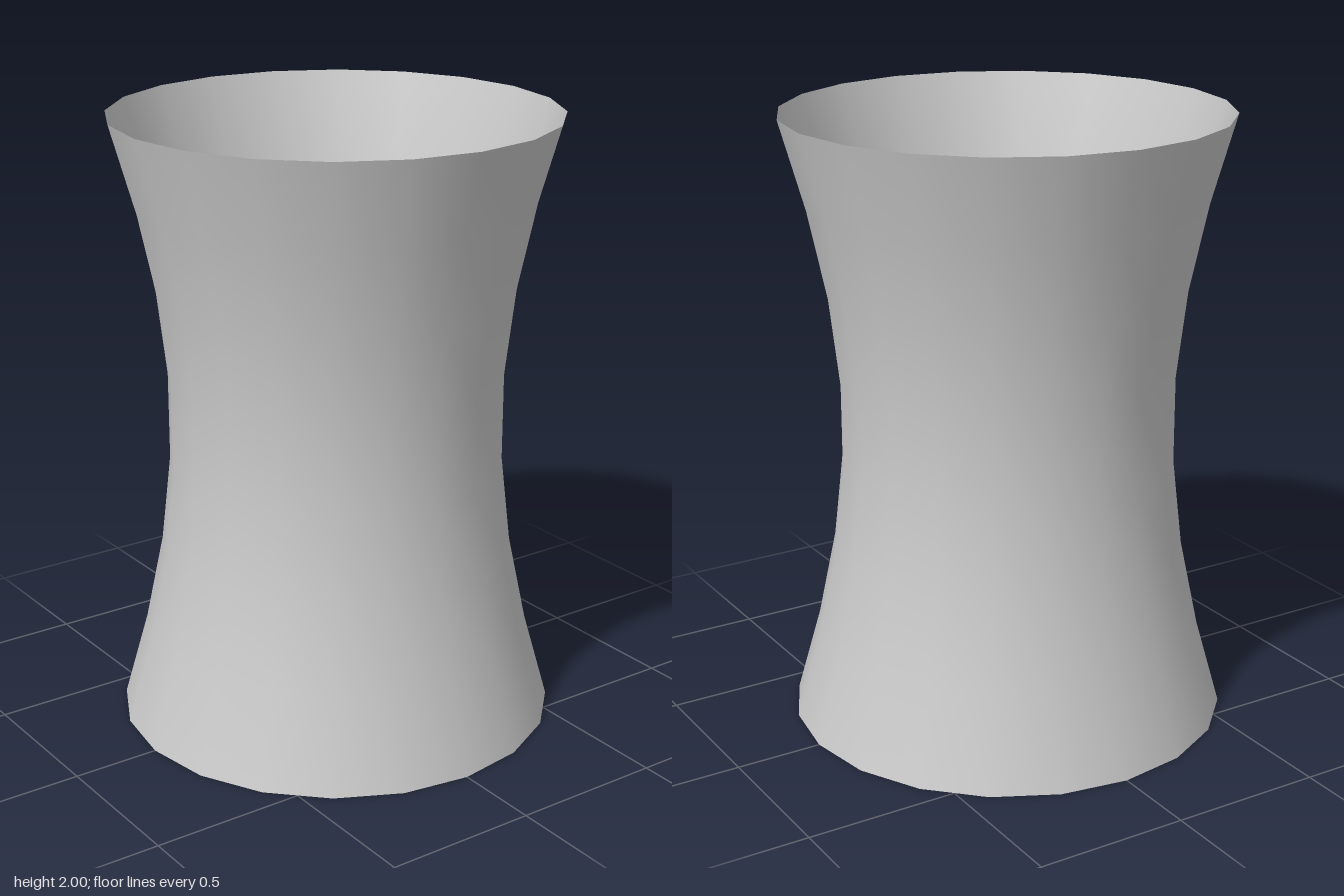
import * as THREE from 'three';

const SIDES = 20, ROWS = 7;
const WAIST = 0.539, RIM = 0.715, HEIGHT = 2;

export function createModel() {
  const group = new THREE.Group();
  group.name = 'hyperboloid';

  // Hyperbola profile, bottom rim to top rim
  const profile = [];
  for (let i = 0; i <= ROWS; i++) {
    const u = (2 * i) / ROWS - 1;
    const r = Math.sqrt(WAIST ** 2 + (RIM ** 2 - WAIST ** 2) * u * u);
    profile.push(new THREE.Vector2(r, (i / ROWS) * HEIGHT));
  }

  // Open, smooth-shaded shell without thickness
  const shell = new THREE.Mesh(
    new THREE.LatheGeometry(profile, SIDES),
    new THREE.MeshStandardMaterial({ color: 0xcccccc, side: THREE.DoubleSide })
  );
  shell.name = 'shell';
  group.add(shell);
  return group;
}
